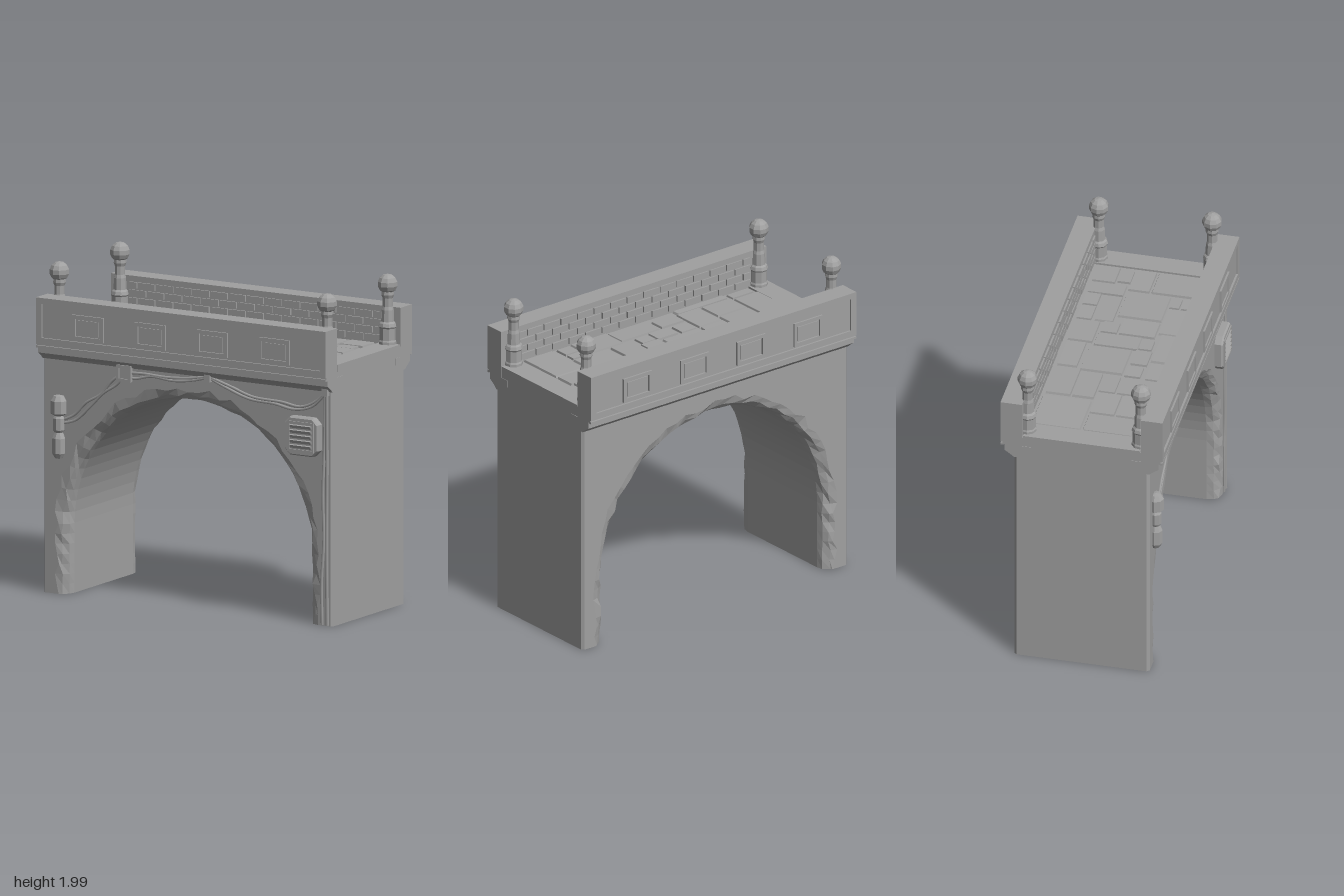
import * as THREE from 'three';

const stone = new THREE.MeshStandardMaterial({ color: 0xa0a0a0 });
stone.name = 'grey stone';

// Small seeded random in -1..1
let seed = 7;
const rnd = () => {
  seed = (seed * 16807) % 2147483647;
  return (seed / 2147483647) * 2 - 1;
};
const V = (x, y, z) => new THREE.Vector3(x, y, z);

function add(parent, name, geo, x = 0, y = 0, z = 0) {
  const m = new THREE.Mesh(geo, stone);
  m.name = name;
  m.position.set(x, y, z);
  parent.add(m);
  return m;
}
function flat(geo) {
  const g = geo.index ? geo.toNonIndexed() : geo;
  g.computeVertexNormals();
  return g;
}
// Box given by its minimum and maximum corners
function box(parent, name, x0, x1, y0, y1, z0, z1) {
  return add(parent, name, new THREE.BoxGeometry(x1 - x0, y1 - y0, z1 - z0),
    (x0 + x1) / 2, (y0 + y1) / 2, (z0 + z1) / 2);
}
// Faceted surface through rows of points; normal = row direction x column direction
function loft(rows) {
  const pts = [];
  for (let i = 0; i + 1 < rows.length; i++)
    for (let j = 0; j + 1 < rows[i].length; j++) {
      const a = rows[i][j], b = rows[i + 1][j], c = rows[i + 1][j + 1], d = rows[i][j + 1];
      pts.push(a, b, c, a, c, d);
    }
  const g = new THREE.BufferGeometry().setFromPoints(pts);
  g.computeVertexNormals();
  return g;
}
const lathe = (pts, n) => flat(new THREE.LatheGeometry(pts.map(p => new THREE.Vector2(...p)), n));
const face = pts => new THREE.ShapeGeometry(new THREE.Shape(pts.map(p => new THREE.Vector2(...p))));

// Rectangular ring facing +z, standing from z = 0
function ring(w, h, t, depth) {
  const rect = (o, a, b) => o.moveTo(-a, -b).lineTo(a, -b).lineTo(a, b).lineTo(-a, b).closePath();
  const s = rect(new THREE.Shape(), w / 2, h / 2);
  s.holes.push(rect(new THREE.Path(), w / 2 - t, h / 2 - t));
  return new THREE.ExtrudeGeometry(s, { depth, bevelEnabled: false });
}

// Arched body with chipped edges
function buildBody(root) {
  const g = new THREE.Group();
  g.name = 'archedBody';
  root.add(g);
  const R = 0.83, spring = 0.42, top = 1.45, Z = 0.41, legSteps = 7, arcSteps = 38;
  const stations = [];
  for (let i = 0; i < legSteps; i++) stations.push([-R, spring * i / legSteps, -1, 0]);
  for (let i = 0; i <= arcSteps; i++) {
    const a = Math.PI * (1 - i / arcSteps), c = Math.cos(a), s = Math.sin(a);
    stations.push([R * c, spring + R * s, c, s]);
  }
  for (let i = legSteps - 1; i >= 0; i--) stations.push([R, spring * i / legSteps, 1, 0]);
  // offset from the opening, depth, roughness
  const edge = [[0, 0.33, 0], [0.01, 0.37, 0.006], [0.036, 0.398, 0.013], [0.072, Z, 0.02]];
  const profile = [...edge.map(([o, z, r]) => [o, -z, r]).reverse(), ...edge];
  const rows = stations.map(([x, y, nx, ny]) => profile.map(([o, z, r]) => {
    const d = o + r * rnd();
    const dz = Math.abs(z) === Z ? 0 : r * 0.6 * rnd();
    return V(x + nx * d, y + ny * d, z + dz);
  }));
  add(g, 'archSoffit', loft(rows));

  const X = 0.985, last = profile.length - 1;
  const outline = (col, sx) => [[-X * sx, 0], [-X * sx, top], [X * sx, top], [X * sx, 0],
    ...rows.map(r => [r[col].x * sx, r[col].y]).reverse()];
  add(g, 'frontWall', face(outline(last, 1)), 0, 0, Z);
  add(g, 'backWall', face(outline(0, -1)), 0, 0, -Z).rotation.y = Math.PI;

  // Outer sides with a narrow chamfer, and the feet
  for (const s of [-1, 1]) {
    const col = [[X, -Z], [1, -0.394], [1, 0.394], [X, Z]];
    if (s < 0) col.reverse();
    add(g, 'sideWall', loft([0, top].map(y => col.map(([x, z]) => V(x * s, y, z)))));
    const inner = rows[s < 0 ? 0 : rows.length - 1].map(p => [p.x, p.z]);
    const outer = col.map(([x, z]) => [x * s, z]);
    if (s > 0) outer.reverse();
    add(g, 'foot', face([...inner, ...outer])).rotation.x = Math.PI / 2;
  }
}

// One parapet, built for the front
function buildParapet(brickLength) {
  const g = new THREE.Group();
  g.name = 'parapet';
  box(g, 'parapetCore', -1, 1, 1.49, 1.785, 0.36, 0.478);
  box(g, 'topRail', -1, 1, 1.75, 1.785, 0.478, 0.49);
  box(g, 'lowerRail', -1, 1, 1.505, 1.545, 0.478, 0.49);
  box(g, 'lowerBead', -1, 1, 1.485, 1.498, 0.47, 0.49);
  for (const s of [-1, 1]) box(g, 'endStile', s * 0.98 - 0.02, s * 0.98 + 0.02, 1.545, 1.75, 0.478, 0.49);
  for (const x of [-0.645, -0.215, 0.21, 0.64]) {
    add(g, 'panelFrame', ring(0.214, 0.15, 0.022, 0.011), x, 1.631, 0.478);
    box(g, 'panelCentre', x - 0.075, x + 0.075, 1.586, 1.676, 0.478, 0.484);
  }
  // Stepped cornice; the shape is in (-z, y) and runs along x
  const s = new THREE.Shape([[-0.3, 1.41], [-0.412, 1.408], [-0.43, 1.425], [-0.467, 1.45],
    [-0.467, 1.49], [-0.3, 1.49]].map(p => new THREE.Vector2(...p)));
  add(g, 'cornice', new THREE.ExtrudeGeometry(s, { depth: 2, bevelEnabled: false }), -1).rotation.y = Math.PI / 2;
  // Staggered bricks on the inside
  for (let r = 0; r < 4; r++) {
    const y = 1.57 + r * 0.047;
    for (let x = -0.87 - (r % 2) * brickLength / 2; x < 0.87; x += brickLength) {
      const x0 = Math.max(x, -0.87), x1 = Math.min(x + brickLength - 0.012, 0.87);
      if (x1 - x0 > 0.02) box(g, 'brick', x0, x1, y, y + 0.038, 0.35 + rnd() * 0.002, 0.365);
    }
  }
  return g;
}

// Paving stones: x0, x1, z0, z1 in hundredths
const paving = [
  [-86, -55, -34, -4], [-52, -24, -33, -18], [-52, -26, -17, -4], [-86, -68, -3, 27], [-67, -45, -3, 12],
  [-67, -45, 13, 29], [-84, -68, 28, 34], [-66, -28, 30, 35], [-44, -27, -3, 7], [-44, -27, 8, 30],
  [-22, 4, -33, -21], [-24, 2, -19, 7], [5, 27, -33, -18], [3, 16, -17, 10], [17, 28, -16, -6],
  [17, 33, -5, 17], [-25, -14, 8, 18], [-12, 3, 9, 19], [4, 14, 10, 18], [-26, -9, 21, 31],
  [-7, 22, 20, 34], [28, 42, -33, -24], [43, 55, -33, -24], [28, 55, -22, -11], [35, 61, -10, 17],
  [56, 67, -33, -11], [68, 84, -33, -19], [70, 82, -18, -10], [63, 84, -10, 3], [63, 84, 4, 35],
  [50, 60, 18, 24], [50, 60, 25, 34], [22, 49, 18, 35],
];

function buildDeck(root) {
  const g = new THREE.Group();
  g.name = 'deck';
  root.add(g);
  box(g, 'deckBase', -0.997, 0.997, 1.41, 1.553, -0.4, 0.4);
  for (const s of [-1, 1]) box(g, 'endSlab', s * 0.93 - 0.07, s * 0.93 + 0.07, 1.52, 1.565, -0.355, 0.355);
  for (const [a, b, c, d] of paving) {
    const w = (b - a) / 100, h = (d - c) / 100;
    const geo = flat(new THREE.CylinderGeometry(Math.SQRT1_2 - 0.03, Math.SQRT1_2, 1, 4).rotateY(Math.PI / 4));
    geo.scale(w, 0.016, h);
    geo.computeVertexNormals();
    const m = add(g, 'pavingStone', geo, (a + b) / 200, 1.558 + rnd() * 0.001, (c + d) / 200);
    m.rotation.set(rnd() * 0.006, 0, rnd() * 0.006);
  }
}

// Corner posts with ball tops
function buildPosts(root) {
  const post = lathe([[0.055, 1.555], [0.055, 1.58], [0.05, 1.59], [0.05, 1.66], [0.056, 1.67], [0.05, 1.69],
    [0.04, 1.7], [0.037, 1.77], [0.031, 1.79], [0.031, 1.84], [0.039, 1.86], [0.036, 1.89]], 9);
  const ball = flat(new THREE.SphereGeometry(0.06, 9, 7));
  for (const x of [-0.927, 0.92])
    for (const z of [-0.343, 0.343]) {
      const g = new THREE.Group();
      g.name = 'cornerPost';
      add(g, 'postShaft', post, x, 0, z);
      add(g, 'postBall', ball, x, 1.925, z);
      root.add(g);
    }
}

// Lamp, cables, boxes and vent on the front
function buildFittings(root) {
  const g = new THREE.Group();
  g.name = 'frontFittings';
  root.add(g);
  const cable = (pts, r = 0.009) => {
    const curve = new THREE.CatmullRomCurve3(pts.map(([x, y]) => V(x, y, 0.413)));
    add(g, 'cable', new THREE.TubeGeometry(curve, 32, r, 6));
  };
  cable([[-0.86, 1.03], [-0.77, 1.06], [-0.68, 1.14], [-0.58, 1.24], [-0.49, 1.3], [-0.44, 1.36]]);
  cable([[-0.86, 1.05], [-0.78, 1.09], [-0.7, 1.17], [-0.6, 1.23], [-0.52, 1.32], [-0.45, 1.37]]);
  cable([[-0.42, 1.355], [-0.36, 1.35], [-0.25, 1.375], [-0.1, 1.365], [0.03, 1.38], [0.145, 1.41]]);
  cable([[-0.42, 1.38], [-0.3, 1.385], [-0.15, 1.38], [0, 1.39], [0.145, 1.415]]);
  cable([[0.145, 1.41], [0.27, 1.36], [0.43, 1.31], [0.6, 1.3], [0.74, 1.28], [0.86, 1.31], [0.955, 1.4]]);
  cable([[0.145, 1.415], [0.3, 1.37], [0.45, 1.325], [0.65, 1.315], [0.78, 1.3], [0.88, 1.34], [0.955, 1.41]]);
  cable([[0.95, 1.4], [0.945, 1.1], [0.935, 0.8], [0.94, 0.5], [0.925, 0.25], [0.93, 0.004]]);
  cable([[0.962, 1.4], [0.963, 0.9], [0.96, 0.5], [0.965, 0.004]], 0.011);

  box(g, 'junctionBox', -0.475, -0.38, 1.33, 1.425, 0.4, 0.432);
  add(g, 'junctionRim', ring(0.1, 0.1, 0.018, 0.012), -0.4275, 1.377, 0.43);
  for (const x of [0.147, 0.958]) box(g, 'cableClip', x - 0.019, x + 0.019, 1.385, 1.435, 0.4, 0.436);

  const lamp = lathe([[0, 0.815], [0.024, 0.82], [0.041, 0.85], [0.041, 0.94], [0.026, 0.975], [0.036, 0.99],
    [0.036, 1.06], [0.026, 1.075], [0.05, 1.09], [0.05, 1.165], [0.032, 1.195], [0, 1.2]], 8);
  add(g, 'wallLamp', lamp, -0.882, 0, 0.422);

  // Octagonal vent with slats
  const a = 0.108, c = 0.075;
  const s = new THREE.Shape([[-a, -c], [-c, -a], [c, -a], [a, -c], [a, c], [c, a], [-c, a], [-a, c]]
    .map(p => new THREE.Vector2(...p)));
  const vent = new THREE.ExtrudeGeometry(s, { depth: 0.04, bevelThickness: 0.01, bevelSize: 0.008, bevelSegments: 1 });
  add(g, 'ventHousing', vent, 0.81, 1.13, 0.41);
  add(g, 'ventRim', ring(0.18, 0.18, 0.012, 0.008), 0.81, 1.13, 0.459);
  for (let i = 0; i < 5; i++) {
    const m = add(g, 'ventSlat', new THREE.BoxGeometry(0.145, 0.018, 0.012), 0.81, 1.07 + i * 0.03, 0.462);
    m.rotation.x = 0.35;
  }
}

export function createModel() {
  seed = 7;
  const root = new THREE.Group();
  root.name = 'stoneArchBridge';
  buildBody(root);
  buildDeck(root);
  root.add(buildParapet(0.125));
  const back = buildParapet(0.125);
  back.rotation.y = Math.PI;
  root.add(back);
  buildPosts(root);
  buildFittings(root);
  return root;
}
